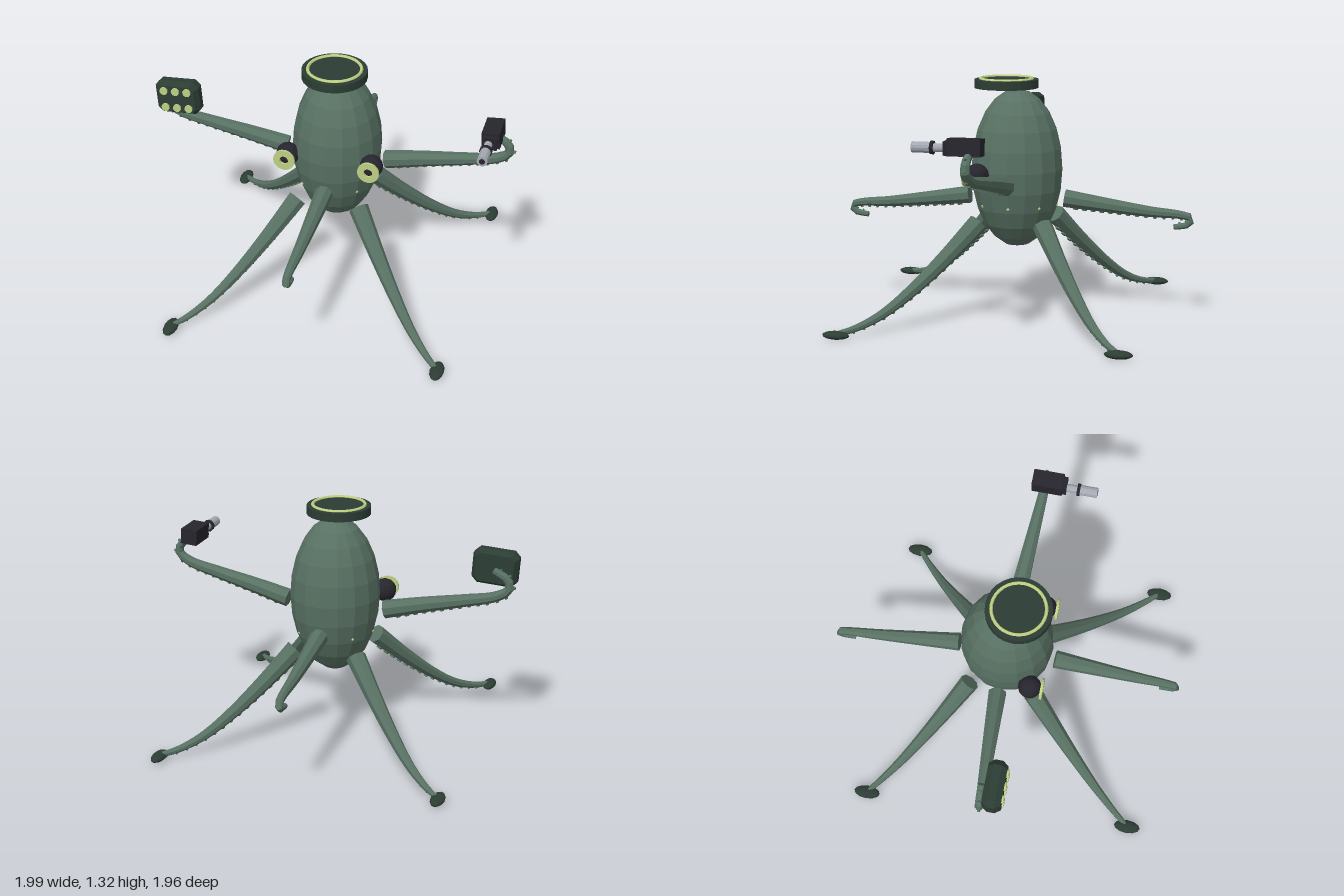
import * as THREE from 'three';

const mat = (name, color) => {
  const m = new THREE.MeshStandardMaterial({ color });
  m.name = name;
  m.flatShading = true;
  return m;
};
const V = (x, y, z) => new THREE.Vector3(x, y, z);
const UP = V(0, 1, 0);

export function createModel() {
  const green = mat('mossGreen', 0x587163);
  const dark = mat('darkGreen', 0x2c3d34);
  const lime = mat('paleLime', 0xbfd082);
  const black = mat('nearBlack', 0x27252d);
  const steel = mat('steel', 0xa3a8b2);

  const model = new THREE.Group();
  model.name = 'octopusRobot';

  const add = (parent, name, geometry, material, x = 0, y = 0, z = 0) => {
    const m = new THREE.Mesh(geometry, material);
    m.name = name;
    m.position.set(x, y, z);
    parent.add(m);
    return m;
  };

  // Tapered limb swept along a curve, with suckers on its underside
  function limb(name, points, r0, r1) {
    const group = new THREE.Group();
    group.name = name;
    model.add(group);
    const curve = new THREE.CatmullRomCurve3(points);
    const dir = points[2].clone().sub(points[0]).setY(0).normalize();
    const side = UP.clone().cross(dir);
    const rings = 24, sides = 8, pos = [], idx = [];
    const frame = (t) => {
      const p = curve.getPointAt(t), tan = curve.getTangentAt(t);
      return { p, n: tan.cross(side).normalize(), r: r0 + (r1 - r0) * t };
    };
    for (let i = 0; i <= rings; i++) {
      const { p, n, r } = frame(i / rings);
      for (let j = 0; j < sides; j++) {
        const a = ((j + 0.5) / sides) * Math.PI * 2;
        const q = p.clone().addScaledVector(side, r * Math.cos(a)).addScaledVector(n, r * Math.sin(a));
        pos.push(q.x, q.y, q.z);
      }
    }
    for (let j = 0; j < sides; j++) {
      const k = (j + 1) % sides;
      for (let i = 0; i < rings; i++) {
        const a = i * sides + j, b = i * sides + k;
        idx.push(a, b, a + sides, b, b + sides, a + sides);
      }
      if (j > 0 && j < sides - 1) {
        const e = rings * sides;
        idx.push(0, k, j, e, e + j, e + k);
      }
    }
    const geo = new THREE.BufferGeometry();
    geo.setAttribute('position', new THREE.Float32BufferAttribute(pos, 3));
    geo.setIndex(idx);
    geo.computeVertexNormals();
    add(group, 'tentacle', geo, green);

    for (let i = 0; i < 16; i++) {
      const { p, n, r } = frame(0.08 + (i / 15) * 0.88);
      const s = add(group, 'sucker', new THREE.CylinderGeometry(r * 0.3, r * 0.4, 0.016, 6), green);
      s.position.copy(p).addScaledVector(n, -r * 0.95);
      s.quaternion.setFromUnitVectors(UP, n.negate());
    }
  }

  // Body
  add(model, 'body', new THREE.SphereGeometry(1, 16, 12), green, 0.005, 0.82, 0).scale.set(0.247, 0.44, 0.255);

  // Small lights around the lower body
  for (let i = 0; i < 8; i++) {
    const a = (i * Math.PI) / 4;
    add(model, 'bodyLight', new THREE.SphereGeometry(0.009, 6, 4), lime,
      0.005 + 0.217 * Math.sin(a), 0.625, 0.223 * Math.cos(a));
  }

  // Flat hat with a bright ring
  add(model, 'hatDisc', new THREE.CylinderGeometry(0.176, 0.176, 0.047, 28), dark, 0.005, 1.288, 0.06);
  const hatRing = add(model, 'hatRing', new THREE.TorusGeometry(0.143, 0.009, 6, 32), lime, 0.005, 1.314, 0.06);
  hatRing.rotation.x = Math.PI / 2;

  // Eyes with a ring around each pupil
  const eyeShape = new THREE.Shape().absarc(0, 0, 0.06, 0, Math.PI * 2);
  eyeShape.holes.push(new THREE.Path().absarc(0, 0, 0.024, 0, Math.PI * 2, true));
  const eyeRing = new THREE.ExtrudeGeometry(eyeShape, { depth: 0.014, bevelEnabled: false, curveSegments: 10 });
  for (const s of [-1, 1]) {
    const x = 0.005 + s * 0.235;
    add(model, 'eyeball', new THREE.SphereGeometry(0.064, 14, 10), black, x, 0.81, 0.168);
    add(model, 'eyeRing', eyeRing, lime, x, 0.81, 0.228);
  }

  // Front and back tentacles, hooked down at the tip
  const hook = [[0.27, 0.66], [0.5, 0.63], [0.75, 0.6], [0.91, 0.588], [0.968, 0.57], [0.945, 0.535], [0.87, 0.52]];
  for (const [name, s, drift] of [['frontTentacle', 1, 0], ['backTentacle', -1, -0.035]]) {
    limb(name, hook.map(([d, y]) => V(0.005 + drift * (d - 0.27) / 0.7, y, s * d)), 0.05, 0.015);
  }

  // Side arms, hooked up at the tip
  const reach = [[0.28, 0.76], [0.5, 0.81], [0.72, 0.855], [0.89, 0.895], [0.958, 0.94], [0.95, 0.99], [0.87, 1.04]];
  for (const [name, s] of [['leftArm', 1], ['rightArm', -1]]) {
    limb(name, reach.map(([d, y]) => V(s * d, y, 0.035 * (d - 0.28) / 0.6)), 0.051, 0.02);
  }

  // Four legs ending in flat feet
  const drop = [[0, 0.535], [0.24, 0.36], [0.47, 0.21], [0.68, 0.1], [0.86, 0.045], [1, 0.028]];
  for (const [name, fx, fz] of [['frontLeft', 0.77, 0.8], ['frontRight', -0.7, 0.84],
    ['backLeft', 0.78, -0.7], ['backRight', -0.785, -0.68]]) {
    const bx = Math.sign(fx) * 0.175, bz = Math.sign(fz) * 0.18;
    limb(name + 'Leg', drop.map(([t, y]) => V(bx + (fx - bx) * t, y, bz + (fz - bz) * t)), 0.055, 0.014);
    add(model, name + 'Foot', new THREE.SphereGeometry(1, 12, 8), dark, fx, 0.023, fz).scale.set(0.038, 0.022, 0.075);
  }

  // Blaster on the left arm
  const blaster = new THREE.Group();
  blaster.name = 'blaster';
  blaster.position.set(0.87, 1.06, 0);
  model.add(blaster);
  const barrel = (name, r, z0, z1, m) => {
    add(blaster, name, new THREE.CylinderGeometry(r, r, z1 - z0, 12), m, -0.008, -0.008, (z0 + z1) / 2).rotation.x = Math.PI / 2;
  };
  add(blaster, 'blasterBody', new THREE.BoxGeometry(0.095, 0.088, 0.17), black, 0, 0, 0.06).rotation.z = 0.08;
  add(blaster, 'blasterNose', new THREE.BoxGeometry(0.075, 0.07, 0.03), black, 0, -0.005, 0.152);
  barrel('barrelNeck', 0.022, 0.15, 0.25, steel);
  barrel('barrelCollar', 0.034, 0.225, 0.242, black);
  barrel('barrel', 0.028, 0.242, 0.338, steel);
  barrel('muzzleHole', 0.016, 0.334, 0.34, black);

  // Lamp panel on the right arm, with bevelled edges
  const panel = new THREE.Group();
  panel.name = 'lampPanel';
  panel.position.set(-0.868, 1.04, 0.105);
  panel.rotation.z = 0.06;
  model.add(panel);
  const w = 0.105, h = 0.078, c = 0.02;
  const outline = new THREE.Shape([[-w + c, -h], [w - c, -h], [w, -h + c], [w, h - c],
    [w - c, h], [-w + c, h], [-w, h - c], [-w, -h + c]].map(([x, y]) => new THREE.Vector2(x, y)));
  const panelGeo = new THREE.ExtrudeGeometry(outline,
    { depth: 0.04, bevelEnabled: true, bevelSize: 0.02, bevelThickness: 0.03, bevelSegments: 1 });
  panelGeo.translate(0, 0, -0.02);
  add(panel, 'panelBody', panelGeo, dark);
  for (const x of [-0.067, 0, 0.067]) {
    for (const y of [-0.05, 0.05]) {
      add(panel, 'lamp', new THREE.CylinderGeometry(0.023, 0.023, 0.014, 10), lime, x, y, 0.053).rotation.x = Math.PI / 2;
    }
  }
  return model;
}
